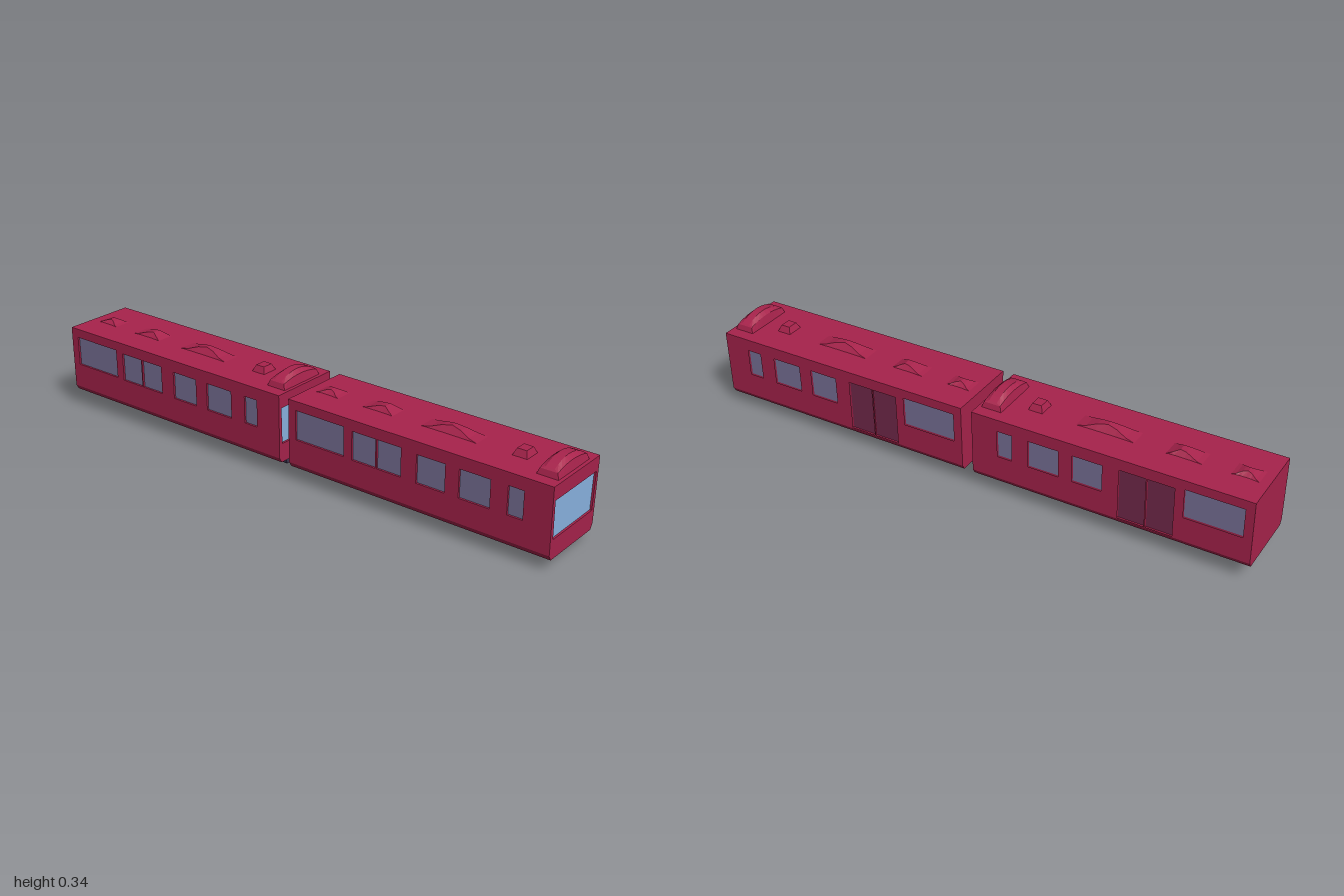
import * as THREE from 'three';

const mat = (color) => new THREE.MeshStandardMaterial({ color, flatShading: true });
const RED = mat(0xa8234c), DOOR = mat(0x74294c), GLASS = mat(0x7a7399);
const SCREEN = mat(0x8ab4e2), DARK = mat(0x3d3752);

// Side walls lean outwards slightly towards the roof
const lean = (y) => 0.005 * Math.min(1, Math.max(0, (y - 0.06) / 0.225));

function add(parent, name, geo, material) {
  const g = geo.index ? geo.toNonIndexed() : geo;
  g.computeVertexNormals();
  const m = new THREE.Mesh(g, material);
  m.name = name;
  parent.add(m);
  return m;
}

// Apply a rule to every vertex
function warp(geo, rule) {
  const p = geo.attributes.position, v = new THREE.Vector3();
  for (let i = 0; i < p.count; i++) {
    rule(v.fromBufferAttribute(p, i));
    p.setXYZ(i, v.x, v.y, v.z);
  }
  return geo;
}

const poly = (pts) => new THREE.Shape(pts.map(([x, y]) => new THREE.Vector2(x, y)));
const mirrored = (half) => [...half, ...half.slice().reverse().map(([x, y]) => [-x, y])];
const extrude = (shape, depth) => new THREE.ExtrudeGeometry(shape, { depth, bevelEnabled: false });

// Openings: [z min, z max, y min, y max]
const WINDOWS = [
  [0.85, 0.904, 0.147, 0.245], [0.68, 0.79, 0.146, 0.245],
  [0.525, 0.63, 0.146, 0.245], [0.05, 0.246, 0.15, 0.256],
];
const DOORS = [[0.375, 0.467, 0.063, 0.249], [0.278, 0.37, 0.063, 0.249]];
const SMALL_WINDOWS = DOORS.map(([a, b]) => [a, b, 0.148, 0.25]);

// Side wall with openings, panes set back in them
function addSide(car, side) {
  const openings = [
    ...WINDOWS.map((o) => [o, 'sideWindow', GLASS]),
    ...(side > 0
      ? DOORS.map((o) => [o, 'doorLeaf', DOOR])
      : SMALL_WINDOWS.map((o) => [o, 'smallWindow', GLASS])),
  ];
  const rect = ([a, b, c, d]) => [[-side * a, c], [-side * b, c], [-side * b, d], [-side * a, d]];
  const place = (geo, x) => warp(geo.rotateY(side * Math.PI / 2), (v) => {
    v.x += side * (x + lean(v.y));
  });
  const wall = poly(rect([0.02, 0.99, 0.06, 0.285]));
  wall.holes = openings.map(([o]) => poly(rect(o)));
  add(car, 'sideWall', place(extrude(wall, 0.01), 0.121), RED);
  for (const [o, name, material] of openings) {
    add(car, name, place(extrude(poly(rect(o)), 0.003), 0.121), material);
  }
}

// Roof bump whose top narrows and rises towards the peak
function addRidge(car, zMin, zMax, h, peak, topHalf) {
  const geo = new THREE.BoxGeometry(2, 1, 1, 1, 1, 6);
  warp(geo, (v) => {
    const t = v.z + 0.5;
    const s = t < peak ? t / peak : (1 - t) / (1 - peak);
    const rise = s * s * (3 - 2 * s);
    const top = v.y > 0;
    v.x *= top ? 0.033 + (topHalf - 0.033) * rise : 0.033;
    v.y = top ? 0.2885 + h * rise : 0.285;
    v.z = zMin + (zMax - zMin) * t;
  });
  add(car, 'roofRidge', geo, RED);
}

function addRoof(car) {
  // Arched pod over the front end
  const pod = new THREE.BoxGeometry(2, 2, 1, 8, 2, 1);
  warp(pod, (v) => {
    const level = Math.round(v.y + 1), u = v.x;
    const arch = 1 - u * u;
    v.x = u * [0.093, 0.086, 0.08][level];
    v.y = [0.285, 0.308 + 0.013 * arch, 0.313 + 0.021 * arch][level];
    v.z = 0.951 + v.z * [0.076, 0.06, 0.03][level];
  });
  add(car, 'roofPod', pod, RED);

  // Small tapered vent
  const vent = warp(new THREE.BoxGeometry(0.066, 0.027, 0.056), (v) => {
    if (v.y > 0) { v.x *= 0.6; v.z *= 0.6; }
    v.y += 0.2975;
    v.z += 0.822;
  });
  add(car, 'roofVent', vent, RED);

  addRidge(car, 0.465, 0.675, 0.024, 0.5, 0.01);
  addRidge(car, 0.235, 0.36, 0.018, 0.65, 0.014);
  addRidge(car, 0.05, 0.145, 0.014, 0.5, 0.01);
}

function createCar(name) {
  const car = new THREE.Group();
  car.name = name;

  // Hull, with shallow recesses in which the side walls sit
  const hull = mirrored([[0.12, 0.042], [0.131, 0.06], [0.121, 0.06],
    [0.126, 0.285], [0.136, 0.285], [0.136, 0.289]]);
  add(car, 'hull', extrude(poly(hull), 0.97).translate(0, 0, 0.02), RED);
  addSide(car, 1);
  addSide(car, -1);

  // Front panel with its windscreen opening
  const screen = mirrored([[0.117, 0.11], [0.122, 0.24]]);
  const front = poly(mirrored([[0.12, 0.042], [0.131, 0.06], [0.136, 0.285], [0.136, 0.289]]));
  front.holes = [poly(screen)];
  add(car, 'frontPanel', extrude(front, 0.01).translate(0, 0, 0.99), RED);
  add(car, 'windscreen', extrude(poly(screen), 0.003).translate(0, 0, 0.99), SCREEN);

  addRoof(car);

  // Underframe, drawn as a side profile and narrowed downwards
  const profile = poly([[-0.965, 0.044], [-0.965, 0], [-0.57, 0], [-0.57, 0.012],
    [-0.43, 0.012], [-0.43, 0], [-0.255, 0], [-0.03, 0.036], [-0.03, 0.044]]);
  const under = extrude(profile, 0.1).translate(0, 0, -0.05).rotateY(Math.PI / 2);
  warp(under, (v) => { v.x *= 1 + 4 * v.y; });
  add(car, 'underframe', under, DARK);
  return car;
}

export function createModel() {
  const model = new THREE.Group();
  model.name = 'train';

  // The whole train stands on a very slight slope
  const train = new THREE.Group();
  train.name = 'cars';
  train.position.z = 1;
  train.rotation.x = 0.0105;
  model.add(train);

  ['frontCar', 'rearCar'].forEach((name, i) => {
    const car = createCar(name);
    car.position.z = -1 - 1.02 * i;
    train.add(car);
  });

  // Gangway between the cars
  const gangway = new THREE.BoxGeometry(0.066, 0.115, 0.06).translate(0, 0.172, -1);
  add(train, 'gangway', gangway, GLASS);
  return model;
}
